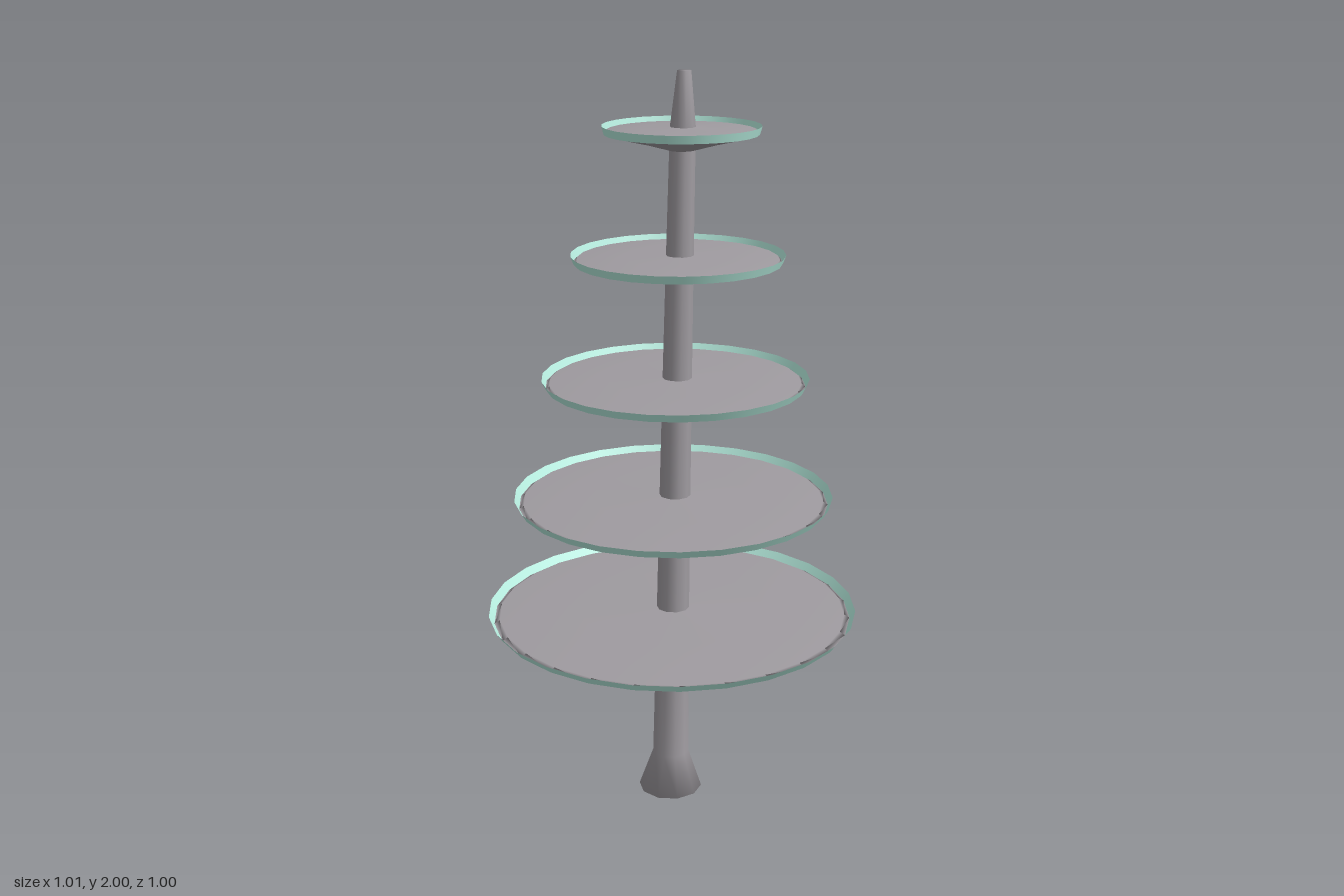
import * as THREE from 'three';

const grey = new THREE.MeshStandardMaterial({ color: 0x9f9ba0 });
const teal = new THREE.MeshStandardMaterial({ color: 0xb6ecde, side: THREE.DoubleSide });

function lathe(name, points, sides, material) {
  const geometry = new THREE.LatheGeometry(points.map(([r, y]) => new THREE.Vector2(r, y)), sides, Math.PI / 2);
  const mesh = new THREE.Mesh(geometry, material);
  mesh.name = name;
  return mesh;
}

// slightly leaning stem with flared foot and tapered, softly shaded tip
function makeTrunk() {
  const trunk = lathe('trunk', [
    [0, 0], [0.088, 0], [0.05, 0.11], [0.045, 0.5], [0.042, 0.85], [0.039, 1.2],
    [0.036, 1.53], [0.033, 1.86], [0.018, 2], [0, 2]
  ], 10, grey);
  const p = trunk.geometry.attributes.position;
  for (let i = 0; i < p.count; i++) {
    const y = p.getY(i);
    p.setX(i, p.getX(i) - 0.004 + 0.012 * y + 0.0025 * y * y);
    p.setZ(i, p.getZ(i) - 0.0015 * y - 0.0035 * y * y);
  }
  return trunk;
}

// shallow dish: conical underside running smoothly into the plate, flared coloured lip
function makeTier(radius, rimY) {
  const tier = new THREE.Group();
  tier.name = 'tier';
  const edge = radius * 0.97;
  tier.add(
    lathe('dish', [
      [0, -0.065], [0.03, -0.063], [radius * 0.5, -0.043],
      [edge, -0.02], [edge * 0.97, -0.012], [radius * 0.5, -0.007], [0, -0.002]
    ], 26, grey),
    lathe('lip', [[edge, -0.021], [radius, 0]], 26, teal)
  );
  tier.position.set(0.0075 * rimY * rimY - 0.002, rimY, -0.0015 * rimY - 0.0035 * rimY * rimY);
  return tier;
}

export function createModel() {
  const model = new THREE.Group();
  model.name = 'tieredTree';
  model.add(makeTrunk());

  // five tiers shrinking evenly upward
  for (let i = 0; i < 5; i++) model.add(makeTier(0.504 - 0.075 * i, 0.555 + 0.3273 * i));
  return model;
}
